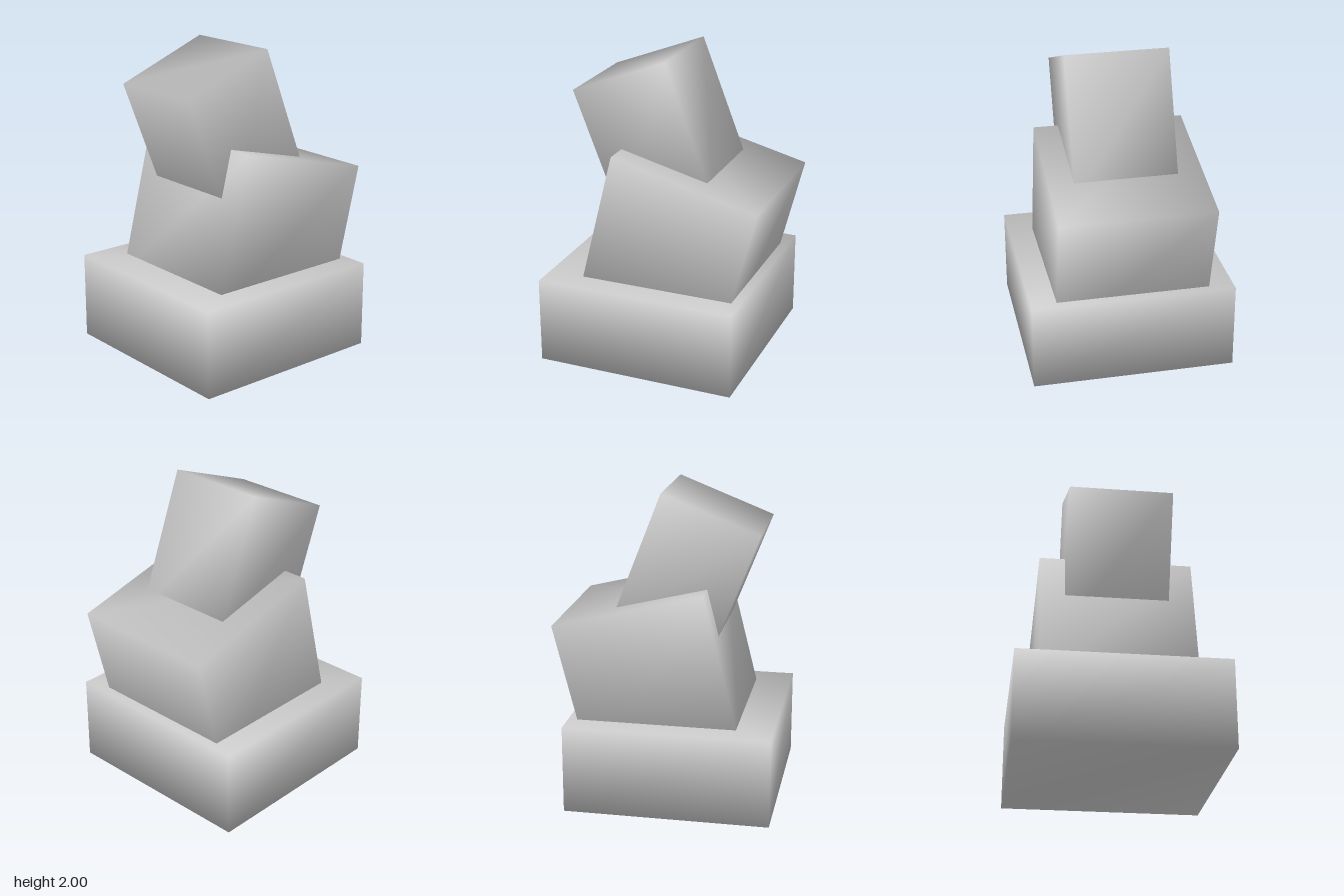
import * as THREE from 'three';
import { mergeVertices } from 'three/addons/utils/BufferGeometryUtils.js';

// Box whose eight corners share averaged normals, for soft shading
function softBox(width, height, depth) {
  const box = new THREE.BoxGeometry(width, height, depth);
  box.deleteAttribute('normal');
  box.deleteAttribute('uv');
  const geometry = mergeVertices(box);
  geometry.computeVertexNormals();
  return geometry;
}

export function createModel() {
  const group = new THREE.Group();
  const grey = new THREE.MeshStandardMaterial({ color: 0xcccccc });
  grey.name = 'grey';

  // Each block: name, size, centre, tilt about x in degrees
  const blocks = [
    ['baseBlock', [1.31, 0.565, 1.31], [0, 0.2825, 0.05], 0],
    ['middleBlock', [0.985, 0.985, 0.985], [-0.003, 0.817, -0.102], -14.1],
    ['topBlock', [0.662, 0.9, 0.662], [-0.002, 1.464, 0.11], 21.3],
  ];

  for (const [name, size, centre, tilt] of blocks) {
    const mesh = new THREE.Mesh(softBox(...size), grey);
    mesh.name = name;
    mesh.position.set(...centre);
    mesh.rotation.x = THREE.MathUtils.degToRad(tilt);
    group.add(mesh);
  }
  return group;
}
